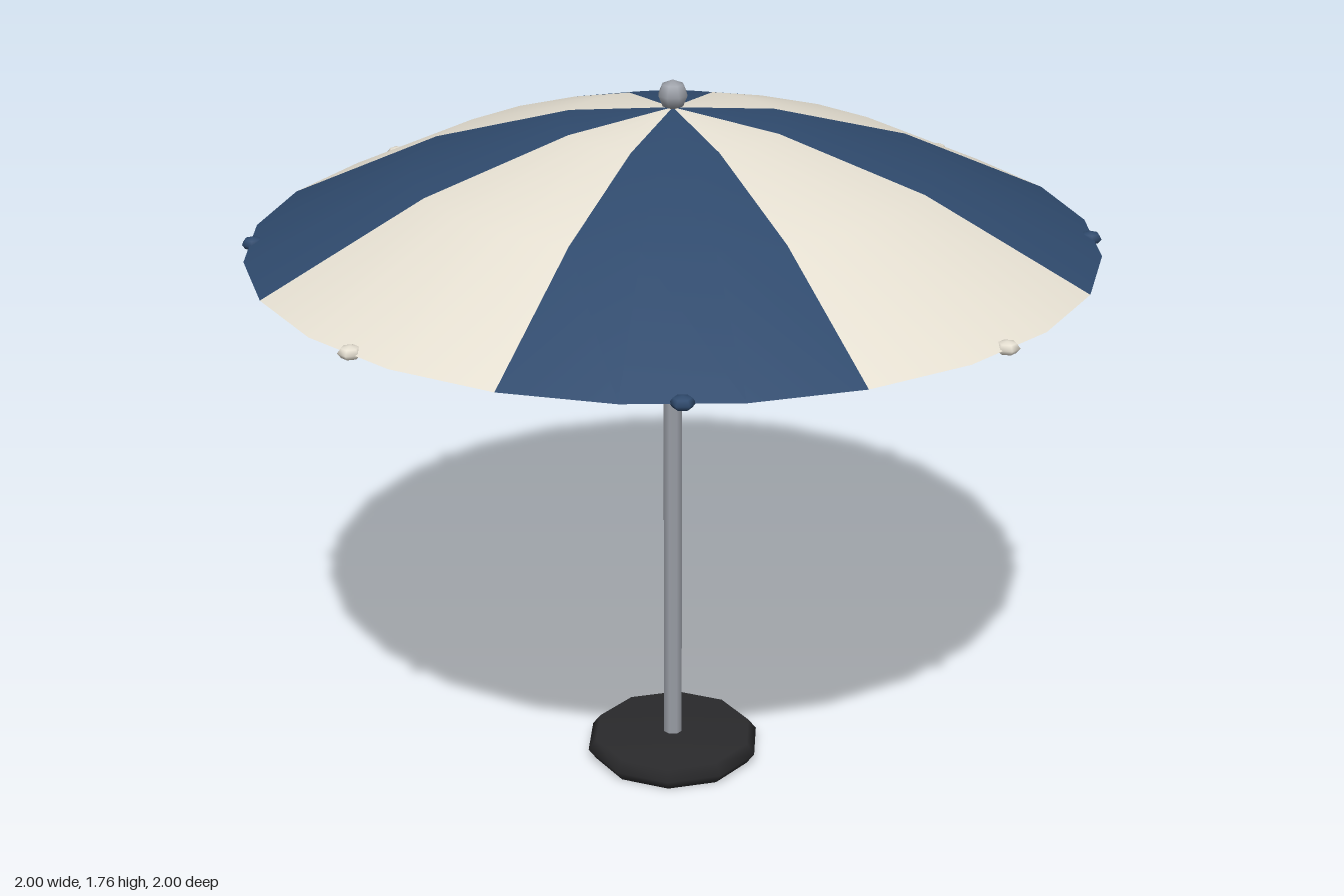
import * as THREE from 'three';

const material = (color, side = THREE.FrontSide) =>
  new THREE.MeshStandardMaterial({ color, side });
const points = list => list.map(([x, y]) => new THREE.Vector2(x, y));

export function createModel() {
  const model = new THREE.Group();
  const add = (name, geometry, mat, x = 0, y = 0, z = 0) => {
    const mesh = new THREE.Mesh(geometry, mat);
    mesh.name = name;
    mesh.position.set(x, y, z);
    model.add(mesh);
    return mesh;
  };

  // Weighted foot with a bevelled rim
  const foot = points([[0, 0], [0.2, 0], [0.22, 0.028], [0.2, 0.055], [0, 0.055]]);
  add('base', new THREE.LatheGeometry(foot, 10, Math.PI / 2), material(0x2a2a2c));

  // Pole
  add('pole', new THREE.CylinderGeometry(0.024, 0.024, 1.51, 8), material(0x9a9ea6), 0, 0.8, 0);

  // Canopy: eight panels in alternating colours, each with a small rib tip at its rim
  const profile = points([[1, 1.37], [0.61, 1.556], [0.26, 1.66], [0, 1.695]]);
  const step = Math.PI / 4;
  const colors = [0x2f4a6d, 0xe6e0d2];
  for (let i = 0; i < 8; i++) {
    const color = colors[i % 2];
    add('canopyPanel', new THREE.LatheGeometry(profile, 3, i * step, step),
      material(color, THREE.DoubleSide));

    const a = (i + 0.5) * step;
    const tip = add('ribTip', new THREE.SphereGeometry(0.028, 6, 4), material(color),
      0.985 * Math.sin(a), 1.37, 0.985 * Math.cos(a));
    tip.scale.y = 0.55;
    tip.rotation.y = a;
  }

  // Finial on the apex
  add('finial', new THREE.SphereGeometry(0.036, 8, 4), material(0x9a9ea6), 0, 1.725, 0);

  return model;
}
